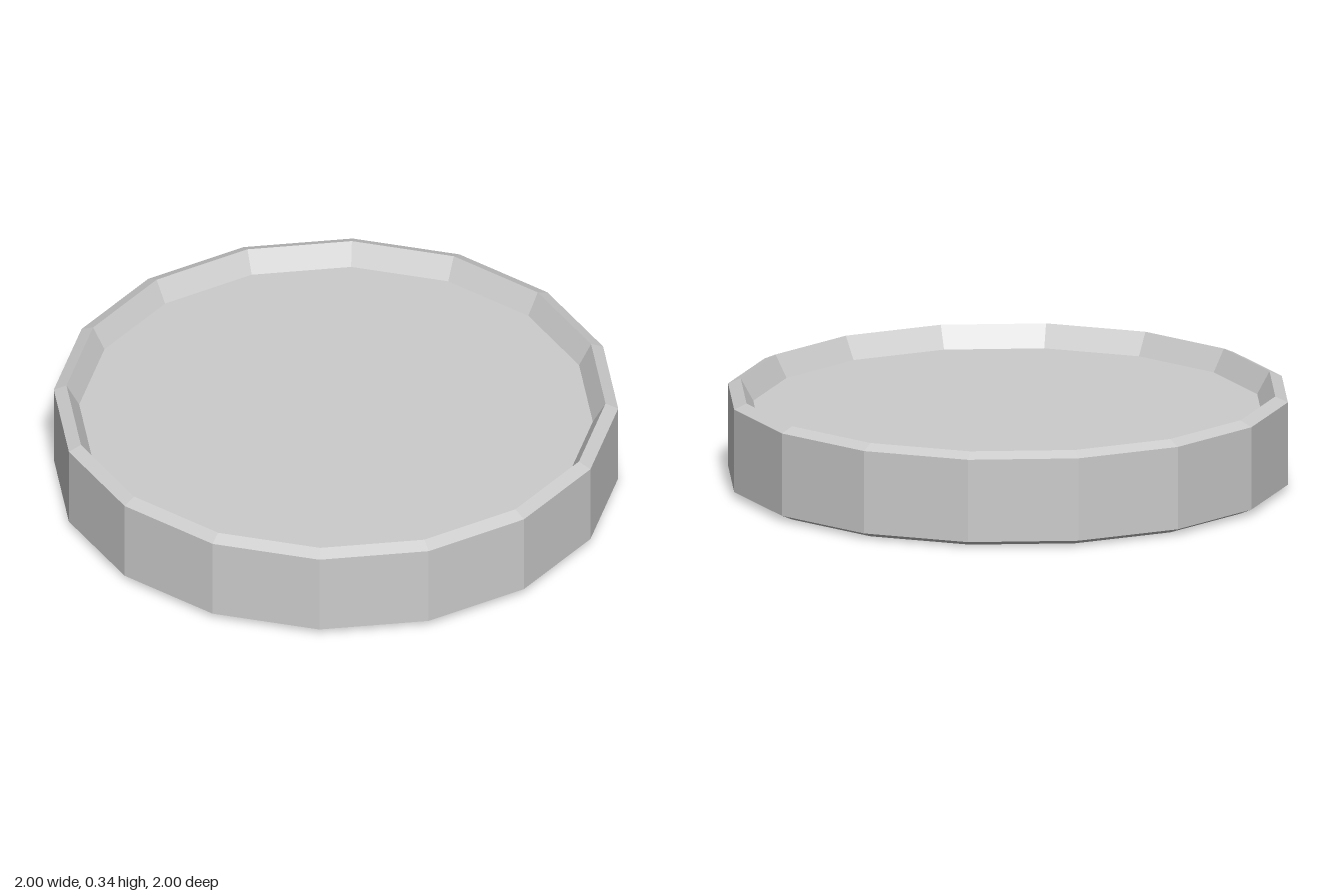
import * as THREE from 'three';

const SIDES = 16;
const HEIGHT = 0.34;   // full height
const BEVEL = 0.02;    // drop of the sloped rim
const RECESS = 0.08;   // depth of the sunken faces

export function createModel() {
  const model = new THREE.Group();
  model.name = 'disc';

  // Half profile from the sunken underside, round the rim, to the sunken top
  const lower = [[0, RECESS], [0.91, RECESS], [0.955, 0], [1, BEVEL]];
  const upper = lower.map(([r, y]) => [r, HEIGHT - y]).reverse();
  const profile = [...lower, ...upper].map(([r, y]) => new THREE.Vector2(r, y));

  // Sixteen-sided faceted body
  const geometry = new THREE.LatheGeometry(profile, SIDES).toNonIndexed();
  geometry.computeVertexNormals();
  const material = new THREE.MeshStandardMaterial({ color: 0xcccccc, flatShading: true });
  const body = new THREE.Mesh(geometry, material);
  body.name = 'recessedDiscBody';
  model.add(body);

  return model;
}
